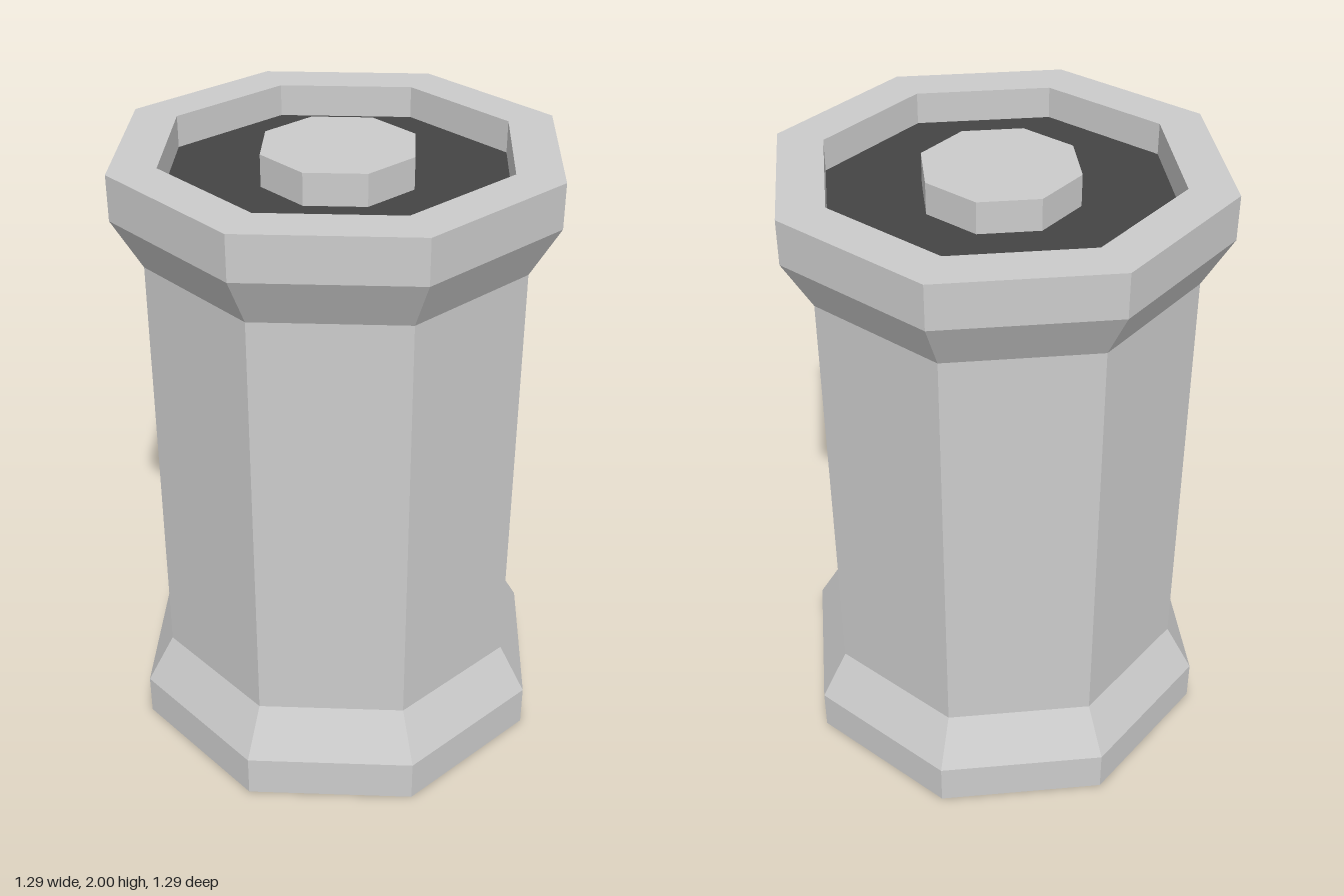
import * as THREE from 'three';

const SIDES = 8;
const TURN = Math.PI / SIDES; // flat sides face the axes
const radius = (apothem) => apothem / Math.cos(TURN);
const DEPTH = 0.1; // recess depth at both ends

export function createModel() {
  const model = new THREE.Group();
  const grey = new THREE.MeshStandardMaterial({ color: 0xcccccc, flatShading: true });
  const dark = new THREE.MeshStandardMaterial({ color: 0x444444, flatShading: true });

  const add = (name, geometry, material, parent = model) => {
    const mesh = new THREE.Mesh(geometry, material);
    mesh.name = name;
    parent.add(mesh);
    return mesh;
  };

  // Octagonal shell with flared rims and the recess walls (apothem, height)
  const profile = [
    [0.507, DEPTH], [0.507, 0], [0.644, 0], [0.644, 0.14], [0.56, 0.3],
    [0.56, 1.7], [0.644, 1.86], [0.644, 2], [0.507, 2], [0.507, 2 - DEPTH],
  ].map(([a, y]) => new THREE.Vector2(radius(a), y));
  add('shell', new THREE.LatheGeometry(profile, SIDES, TURN), grey);

  // Dark recessed floor and central hub, the same at both ends
  for (const end of ['top', 'bottom']) {
    const cap = new THREE.Group();
    cap.name = end + 'Cap';
    const floor = add('recessFloor',
      new THREE.RingGeometry(radius(0.225), radius(0.507), SIDES, 1, TURN), dark, cap);
    floor.rotation.x = -Math.PI / 2;
    floor.position.y = -DEPTH;
    const hub = add('hub',
      new THREE.CylinderGeometry(radius(0.225), radius(0.225), DEPTH, SIDES, 1, false, TURN), grey, cap);
    hub.position.y = -DEPTH / 2;
    if (end === 'top') cap.position.y = 2;
    else cap.rotation.x = Math.PI;
    model.add(cap);
  }
  return model;
}
